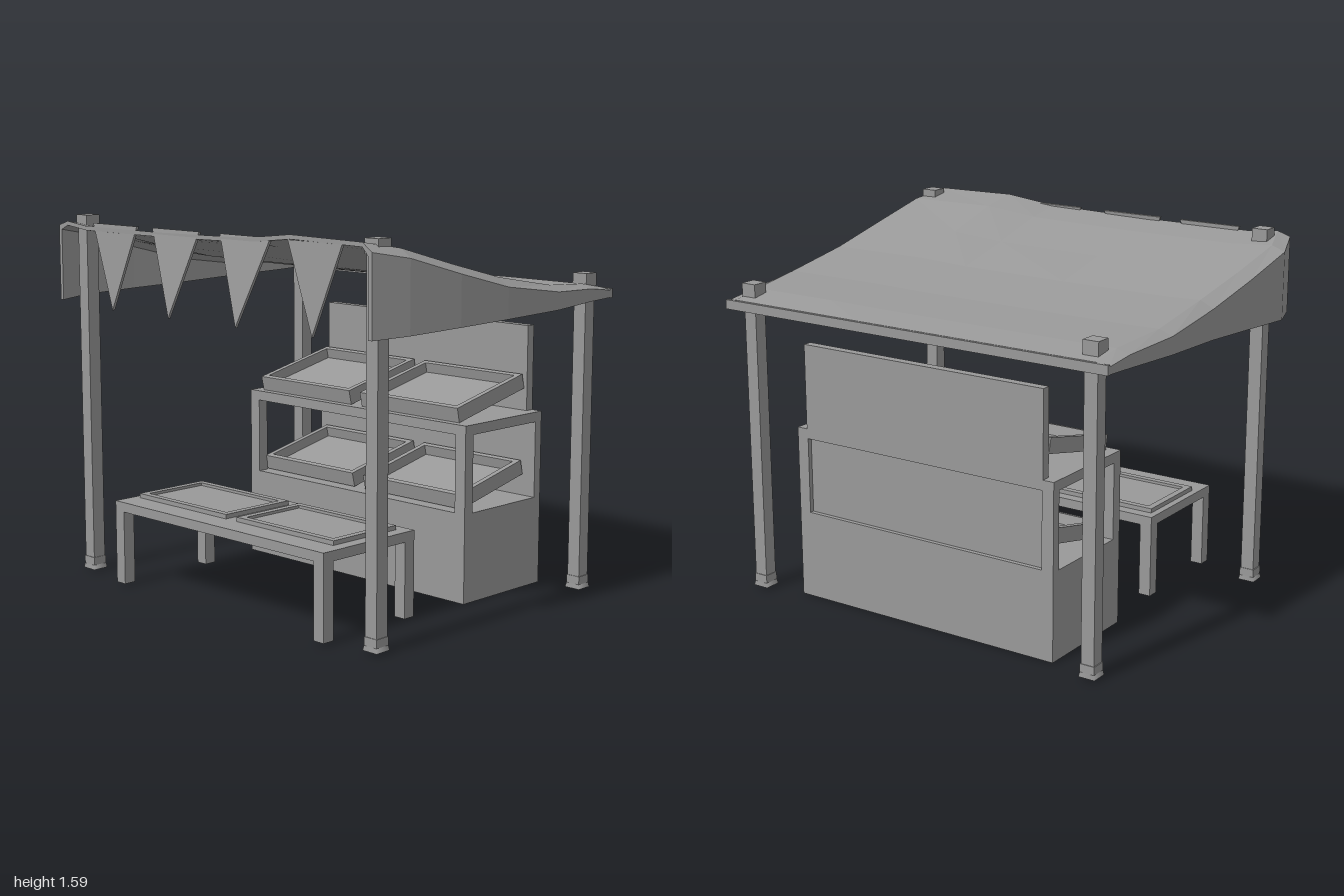
import * as THREE from 'three';

const grey = new THREE.MeshStandardMaterial({ color: 0x999999 });
grey.name = 'plain grey';

// Box given by its minimum and maximum on each axis
function box(parent, name, x0, x1, y0, y1, z0, z1) {
  const mesh = new THREE.Mesh(new THREE.BoxGeometry(x1 - x0, y1 - y0, z1 - z0), grey);
  mesh.position.set((x0 + x1) / 2, (y0 + y1) / 2, (z0 + z1) / 2);
  mesh.name = name;
  parent.add(mesh);
  return mesh;
}

// Shallow open tray centred on its own origin
function tray(name, w, h, d, rim, floor) {
  const g = new THREE.Group();
  g.name = name;
  for (const s of [-1, 1]) {
    const x = s * (w - rim) / 2, z = s * (d - rim) / 2;
    box(g, 'trayEnd', x - rim / 2, x + rim / 2, -h / 2, h / 2, -d / 2, d / 2);
    box(g, 'traySide', -w / 2 + rim, w / 2 - rim, -h / 2, h / 2, z - rim / 2, z + rim / 2);
  }
  box(g, 'trayFloor', -w / 2 + rim, w / 2 - rim, -h / 2, -h / 2 + floor, -d / 2 + rim, d / 2 - rim);
  return g;
}

// Draped sheet: one closed cross-section per station along x
function canopyGeometry() {
  // x, top height, skirt bottom, front edge z, back edge z
  const stations = [
    [-0.70, 1.58, 1.22, 0.93, -0.94],
    [-0.53, 1.55, 1.225, 0.965, -1.0],
    [-0.27, 1.475, 1.235, 0.99, -0.98],
    [0, 1.405, 1.243, 1.0, -0.957],
    [0.32, 1.35, 1.252, 1.0, -0.955],
    [0.6, 1.33, 1.26, 0.955, -0.935],
    [0.74, 1.305, 1.265, 0.95, -0.93],
  ];
  const t = 0.018, pos = [], index = [];
  let M = 0, n = 0;
  for (const [x, yt, yb, zf, zb] of stations) {
    const drop = Math.min(0.035, (yt - yb) * 0.25), sag = 0.03 * (yt - 1.3) / 0.28;
    const outer = [
      [zf, yb], [zf, yt - drop], [zf - 0.05, yt], [0.5, yt + sag * 0.2], [0.25, yt - sag * 0.7],
      [-0.25, yt - sag], [-0.75, yt - sag], [zb + 0.06, yt - sag * 0.5], [zb, yt - drop], [zb, yb],
    ];
    n = outer.length;
    M = 2 * n;
    const inner = outer.map(([z, y], i) => {
      const side = i < 2 ? -1 : i > n - 3 ? 1 : 0;
      return [z + side * t, i === 0 || i === n - 1 ? y : y - t];
    });
    for (const [z, y] of [...outer, ...inner.reverse()]) pos.push(x, y, z);
  }
  const quad = (a, b, c, d) => index.push(a, b, c, a, c, d);
  for (let s = 0; s < stations.length - 1; s++) {
    for (let i = 0; i < M; i++) {
      const j = (i + 1) % M, a = s * M, b = a + M;
      quad(a + i, b + i, b + j, a + j);
    }
  }
  const e = (stations.length - 1) * M;
  for (let i = 0; i < n - 1; i++) {
    quad(i, i + 1, M - 2 - i, M - 1 - i);
    quad(e + i, e + M - 1 - i, e + M - 2 - i, e + i + 1);
  }
  const indexed = new THREE.BufferGeometry();
  indexed.setAttribute('position', new THREE.Float32BufferAttribute(pos, 3));
  indexed.setIndex(index);
  const flat = indexed.toNonIndexed();
  flat.computeVertexNormals();
  return flat;
}

export function createModel() {
  const model = new THREE.Group();
  model.name = 'marketStall';
  const trayCentres = [-0.29, 0.335];

  // Four corner posts with flared feet and caps above the cloth
  for (const [x, z, top] of [[-0.605, 0.87, 1.59], [-0.605, -0.86, 1.59], [0.66, 0.87, 1.37], [0.66, -0.82, 1.37]]) {
    const post = new THREE.Group();
    post.name = 'cornerPost';
    box(post, 'postShaft', -0.03, 0.03, 0.02, top - 0.05, -0.03, 0.03);
    box(post, 'postCap', -0.035, 0.035, top - 0.06, top, -0.035, 0.035);
    box(post, 'footCollar', -0.033, 0.033, 0.03, 0.065, -0.033, 0.033);
    const foot = new THREE.Mesh(new THREE.CylinderGeometry(0.032 * Math.SQRT2, 0.037 * Math.SQRT2, 0.025, 4), grey);
    foot.geometry.rotateY(Math.PI / 4);
    foot.position.y = 0.0225;
    foot.name = 'footFlare';
    post.add(foot);
    post.position.set(x, 0, z);
    model.add(post);
  }

  // Cloth roof with hanging side skirts and a straight front hem
  const canopy = new THREE.Mesh(canopyGeometry(), grey);
  canopy.name = 'canopy';
  model.add(canopy);
  box(model, 'canopyHem', 0.735, 0.75, 1.263, 1.303, -0.93, 0.95);

  // Pennants hanging from the high edge, each leaning outward a little
  const shape = new THREE.Shape([
    new THREE.Vector2(-0.145, 0), new THREE.Vector2(0, -0.36), new THREE.Vector2(0.145, 0),
  ]);
  for (const [z, lean] of [[-0.56, 0.02], [-0.17, 0.045], [0.245, 0.055], [0.63, 0.015]]) {
    const geo = new THREE.ExtrudeGeometry(shape, { depth: 0.012, bevelEnabled: false });
    geo.rotateY(-Math.PI / 2);
    geo.rotateZ(-Math.asin(lean / 0.36));
    const pennant = new THREE.Mesh(geo, grey);
    pennant.position.set(-0.685, 1.565, z);
    pennant.name = 'pennant';
    model.add(pennant);
  }

  // Cabinet: solid base, corner uprights, counter top and panels
  const cabinet = new THREE.Group();
  cabinet.name = 'cabinet';
  model.add(cabinet);
  box(cabinet, 'cabinetBase', 0.13, 0.63, 0, 0.385, -0.62, 0.68);
  box(cabinet, 'counterTop', 0.13, 0.63, 0.717, 0.76, -0.62, 0.68);
  for (const [x0, x1] of [[0.13, 0.18], [0.59, 0.63]]) {
    for (const [z0, z1] of [[-0.62, -0.565], [0.625, 0.68]]) {
      box(cabinet, 'upright', x0, x1, 0.385, 0.717, z0, z1);
    }
  }
  box(cabinet, 'recessedPanel', 0.59, 0.61, 0.385, 0.717, -0.565, 0.625);
  box(cabinet, 'raisedPanel', 0.59, 0.63, 0.76, 1.13, -0.57, 0.63);

  // Sloping display trays, two on each level
  for (const z of trayCentres) {
    for (const [x, y, w] of [[0.381, 0.465, 0.412], [0.37, 0.84, 0.435]]) {
      const t = tray('displayTray', w, 0.065, 0.56, 0.025, 0.02);
      t.position.set(x, y, z);
      t.rotation.z = 0.222;
      cabinet.add(t);
    }
  }

  // Low table with two flat trays
  const table = new THREE.Group();
  table.name = 'lowTable';
  model.add(table);
  box(table, 'tableTop', -0.69, -0.17, 0.33, 0.372, -0.6, 0.67);
  for (const x of [-0.69, -0.225]) {
    for (const z of [-0.6, 0.615]) box(table, 'tableLeg', x, x + 0.055, 0.01, 0.33, z, z + 0.055);
  }
  for (const z of trayCentres) {
    const t = tray('tableTray', 0.36, 0.02, 0.56, 0.03, 0.008);
    t.position.set(-0.4, 0.381, z);
    table.add(t);
  }
  return model;
}
